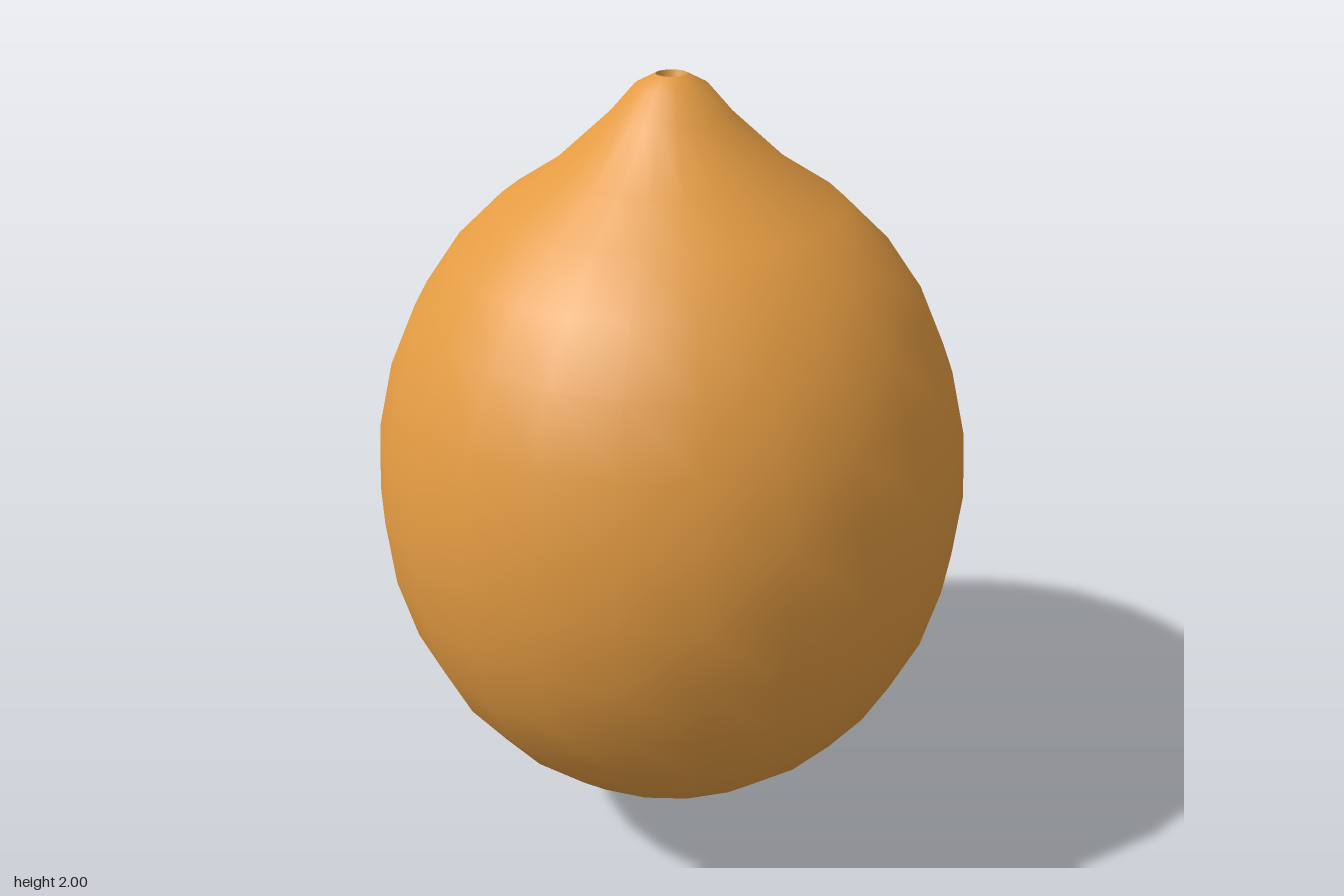
import * as THREE from 'three';

const SIDES = 24;

// Surface of revolution from [radius, height] pairs listed bottom to top
function revolve(name, pairs, material) {
  const points = pairs.map(([r, y]) => new THREE.Vector2(r, y));
  const mesh = new THREE.Mesh(new THREE.LatheGeometry(points, SIDES), material);
  mesh.name = name;
  return mesh;
}

export function createModel() {
  const group = new THREE.Group();
  group.name = 'lemon';
  const peel = new THREE.MeshStandardMaterial({ color: 0xe39b42, side: THREE.DoubleSide });

  // Half profile from the equator to the tip, mirrored for the lower half
  const upper = [
    [0.725, 1], [0.711, 1.168], [0.67, 1.33], [0.603, 1.478], [0.513, 1.605],
    [0.403, 1.71], [0.277, 1.79], [0.139, 1.913], [0.083, 1.976], [0.036, 2],
  ];
  const lower = upper.slice(1).reverse().map(([r, y]) => [r, 2 - y]);
  group.add(revolve('peel', [...lower, ...upper], peel));

  // Small pits sunk into both tips
  group.add(revolve('topPit', [[0.036, 2], [0, 1.9]], peel));
  group.add(revolve('bottomPit', [[0, 0.1], [0.036, 0]], peel));

  return group;
}
